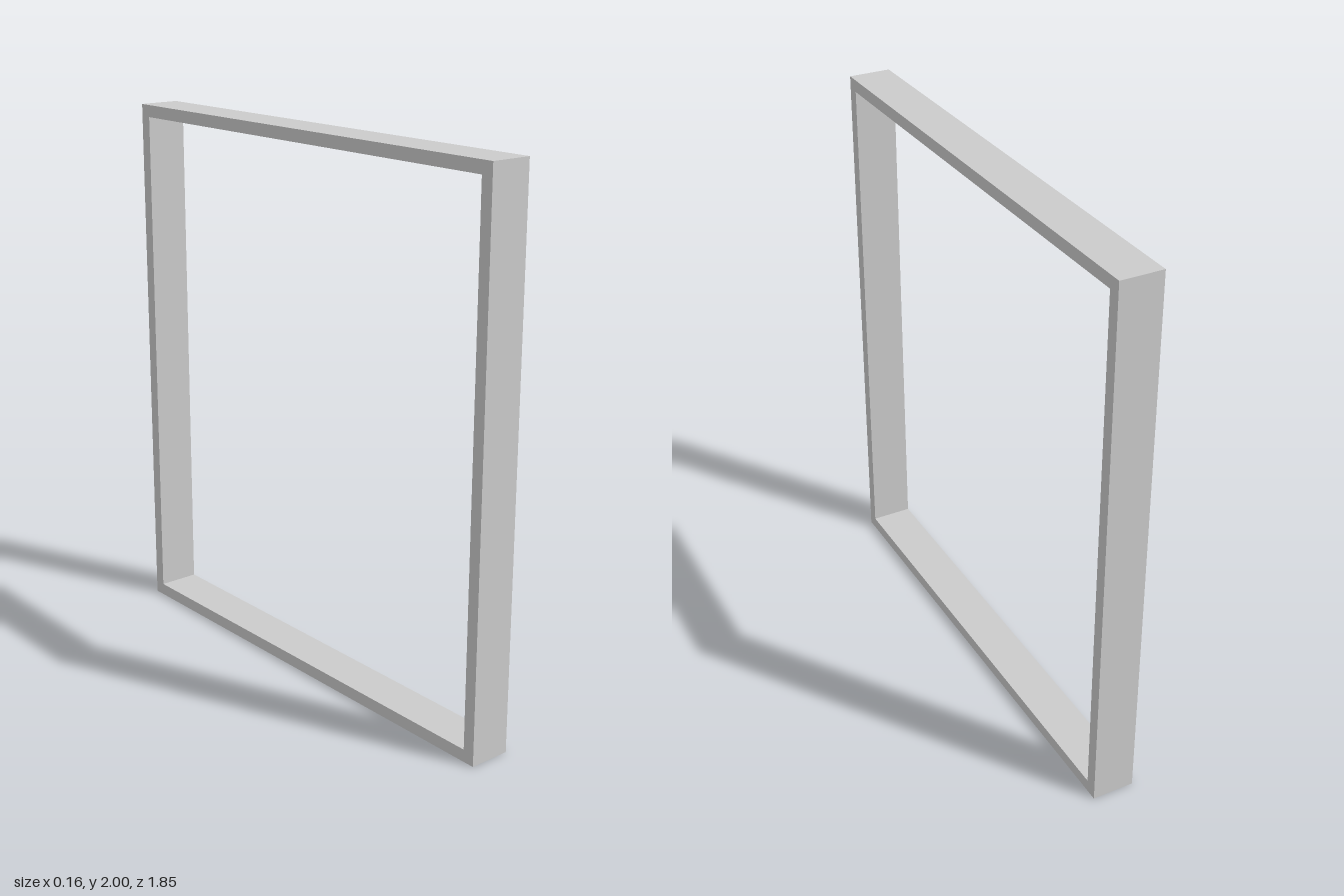
import * as THREE from 'three';

const HEIGHT = 2, WIDTH = 1.85, DEPTH = 0.155, RAIL = 0.045;

// Rectangle centred on x, inset evenly from the frame's outer edge
function rectangle(path, inset) {
  const w = WIDTH / 2 - inset;
  path.moveTo(-w, inset);
  path.lineTo(w, inset);
  path.lineTo(w, HEIGHT - inset);
  path.lineTo(-w, HEIGHT - inset);
  path.closePath();
  return path;
}

export function createModel() {
  const group = new THREE.Group();
  group.name = 'openFrame';

  // One-piece frame with a rectangular opening, turned to span z
  const outline = rectangle(new THREE.Shape(), 0);
  outline.holes.push(rectangle(new THREE.Path(), RAIL));
  const geometry = new THREE.ExtrudeGeometry(outline, { depth: DEPTH, bevelEnabled: false });
  geometry.translate(0, 0, -DEPTH / 2).rotateY(Math.PI / 2);

  const frame = new THREE.Mesh(geometry, new THREE.MeshStandardMaterial({ color: 0xcccccc }));
  frame.name = 'frame';
  group.add(frame);
  return group;
}
